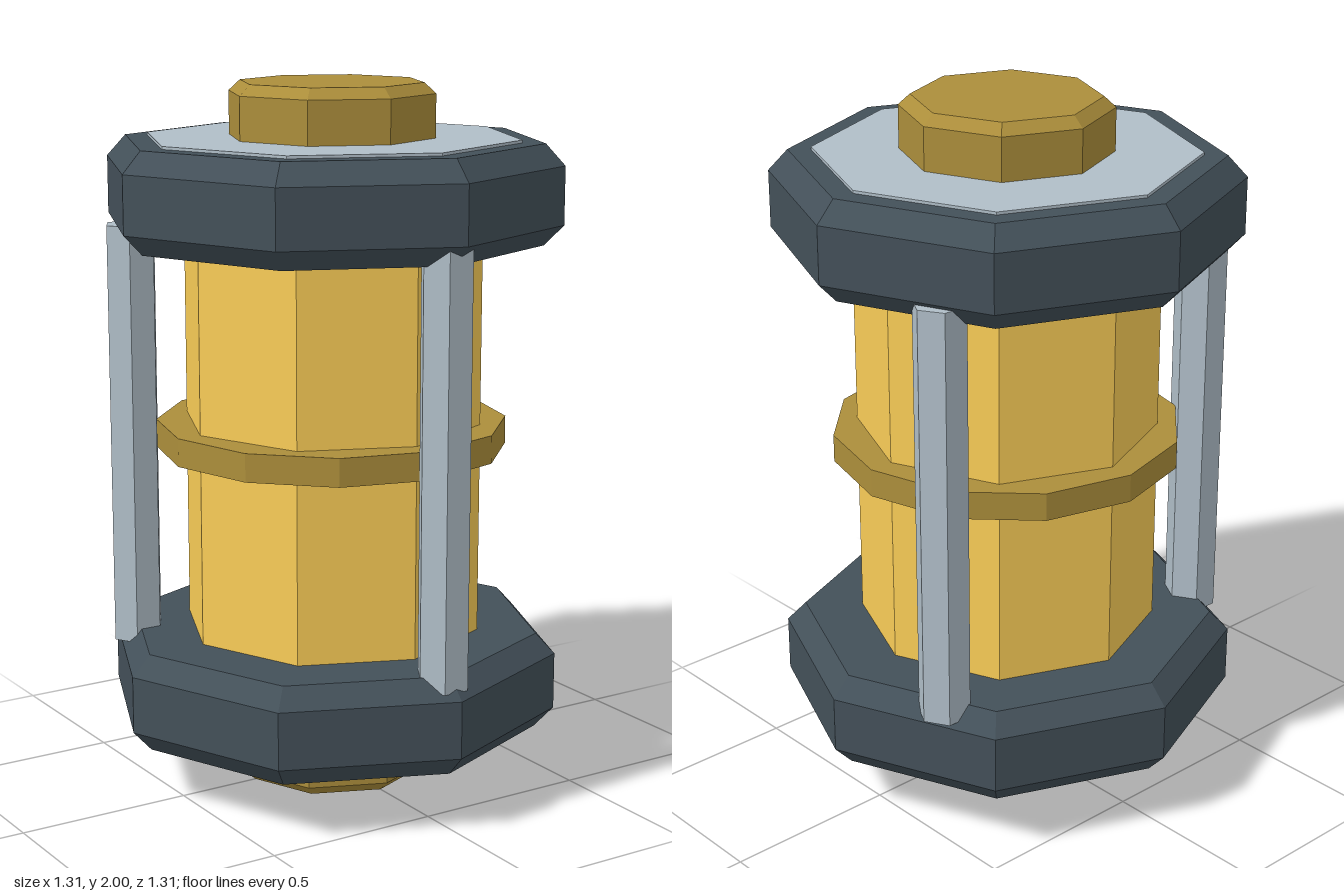
import * as THREE from 'three';

const material = (color) => new THREE.MeshStandardMaterial({ color, flatShading: true });
const glowYellow = material(0xfacd57);
const brass = material(0xac8e3b);
const darkSteel = material(0x435059);
const silver = material(0xb0bec8);

export function createModel() {
  const model = new THREE.Group();

  const add = (parent, name, geometry, mat, x = 0, y = 0, z = 0) => {
    const mesh = new THREE.Mesh(geometry, mat);
    mesh.name = name;
    mesh.position.set(x, y, z);
    parent.add(mesh);
    return mesh;
  };

  // Octagonal solid turned from a [radius, y] profile, listed bottom to top
  const turned = (profile) =>
    new THREE.LatheGeometry(profile.map(([r, y]) => new THREE.Vector2(r, y)), 8);

  // Central barrel and its raised band
  add(model, 'barrel', new THREE.CylinderGeometry(0.43, 0.43, 1.2, 8), glowYellow, 0, 1, 0);
  add(model, 'band', new THREE.CylinderGeometry(0.5, 0.5, 0.08, 12), brass, 0, 1.005, 0);

  // Matching end assemblies: bevelled cap, inset plate and knob
  const capShape = turned([[0, 0.56], [0.6, 0.56], [0.655, 0.617], [0.655, 0.78], [0.6, 0.84], [0, 0.84]]);
  const plateShape = new THREE.CylinderGeometry(0.535, 0.535, 0.03, 8);
  const knobShape = turned([[0, 0.8], [0.295, 0.8], [0.295, 0.97], [0.262, 1], [0, 1]]);
  for (const [name, flip] of [['topEnd', 0], ['bottomEnd', Math.PI]]) {
    const end = new THREE.Group();
    end.name = name;
    end.position.y = 1;
    end.rotation.x = flip;
    add(end, 'cap', capShape, darkSteel);
    add(end, 'plate', plateShape, silver, 0, 0.833, 0);
    add(end, 'knob', knobShape, brass);
    model.add(end);
  }

  // Three hexagonal rods around the barrel, all facing the same way
  const rodShape = new THREE.CylinderGeometry(0.075, 0.075, 1.205, 6).rotateY(Math.PI / 6);
  for (let i = 0; i < 3; i++) {
    const a = (i * Math.PI * 2) / 3;
    add(model, 'rod', rodShape, silver, Math.sin(a) * 0.563, 1.003, Math.cos(a) * 0.563);
  }

  return model;
}
